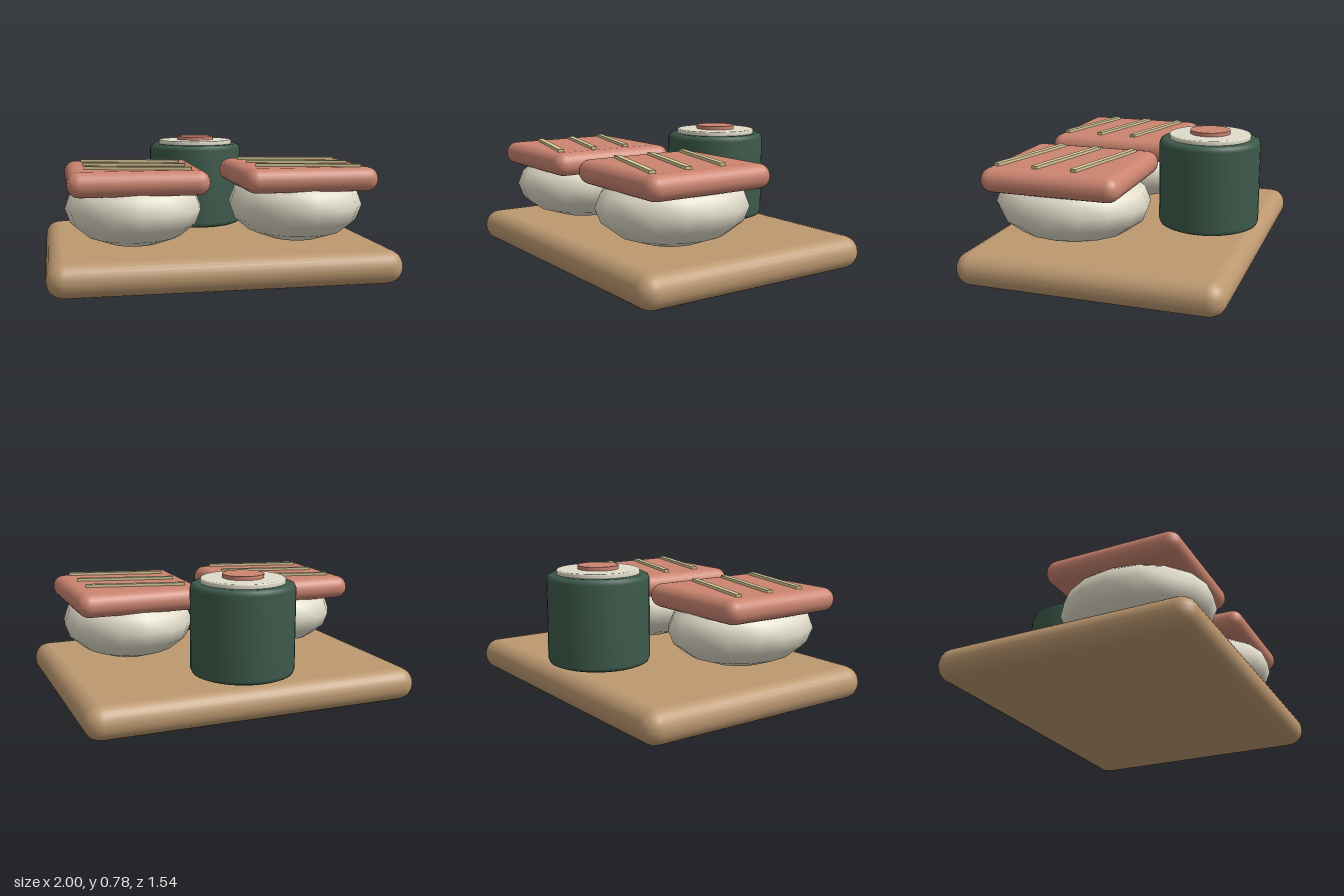
import * as THREE from 'three';
import { RoundedBoxGeometry } from 'three/addons/geometries/RoundedBoxGeometry.js';

function mat(name, color) {
  const m = new THREE.MeshStandardMaterial({ color });
  m.name = name;
  return m;
}

export function createModel() {
  const wood = mat('wood', 0xbc9870);
  const salmon = mat('salmon', 0xcb8470);
  const rice = mat('rice', 0xe0dbc9);
  const seaweed = mat('seaweed', 0x3d5a4b);
  const fat = mat('fatStripe', 0xd6c899);

  const model = new THREE.Group();
  model.name = 'sushiBoard';

  function add(parent, name, geometry, material, x, y, z) {
    const mesh = new THREE.Mesh(geometry, material);
    mesh.name = name;
    mesh.position.set(x, y, z);
    parent.add(mesh);
    return mesh;
  }

  // Upright disc with bevelled rims, standing on y = 0
  function bevelledDisc(r, h, b) {
    const c = b * 0.3;
    const points = [
      [0, 0], [r - b, 0], [r - c, c], [r, b],
      [r, h - b], [r - c, h - c], [r - b, h], [0, h],
    ].map(([x, y]) => new THREE.Vector2(x, y));
    return new THREE.LatheGeometry(points, 40);
  }

  // Serving board
  add(model, 'board', new RoundedBoxGeometry(2, 0.195, 1.54, 3, 0.095), wood, 0, 0.0975, 0);

  // Two rice balls, each with a striped fish slice
  for (const [side, x] of [['right', -0.487], ['left', 0.487]]) {
    const piece = new THREE.Group();
    piece.name = side + 'Nigiri';
    piece.position.set(x, 0, 0.24);
    model.add(piece);

    const ball = add(piece, 'riceBall', new THREE.SphereGeometry(1, 16, 8), rice, 0, 0.417, 0);
    ball.scale.set(0.397, 0.222, 0.453);
    add(piece, 'fishSlice', new RoundedBoxGeometry(0.78, 0.14, 0.81, 3, 0.068), salmon, 0, 0.59, 0.002);
    for (const z of [-0.195, 0.033, 0.26]) {
      const stripe = add(piece, 'fatStripe', new THREE.BoxGeometry(0.595, 0.02, 0.035), fat, 0, 0.666, z);
      stripe.rotation.y = -0.25;
    }
  }

  // Seaweed roll with rice and a salmon core
  const roll = new THREE.Group();
  roll.name = 'roll';
  roll.position.set(0, 0, -0.442);
  model.add(roll);
  add(roll, 'seaweedWrap', bevelledDisc(0.302, 0.53, 0.03), seaweed, 0, 0.205, 0);
  add(roll, 'rollRice', bevelledDisc(0.244, 0.04, 0.008), rice, 0, 0.721, 0);
  add(roll, 'rollCore', new THREE.CylinderGeometry(0.12, 0.12, 0.03, 32), salmon, 0, 0.768, 0);

  return model;
}
